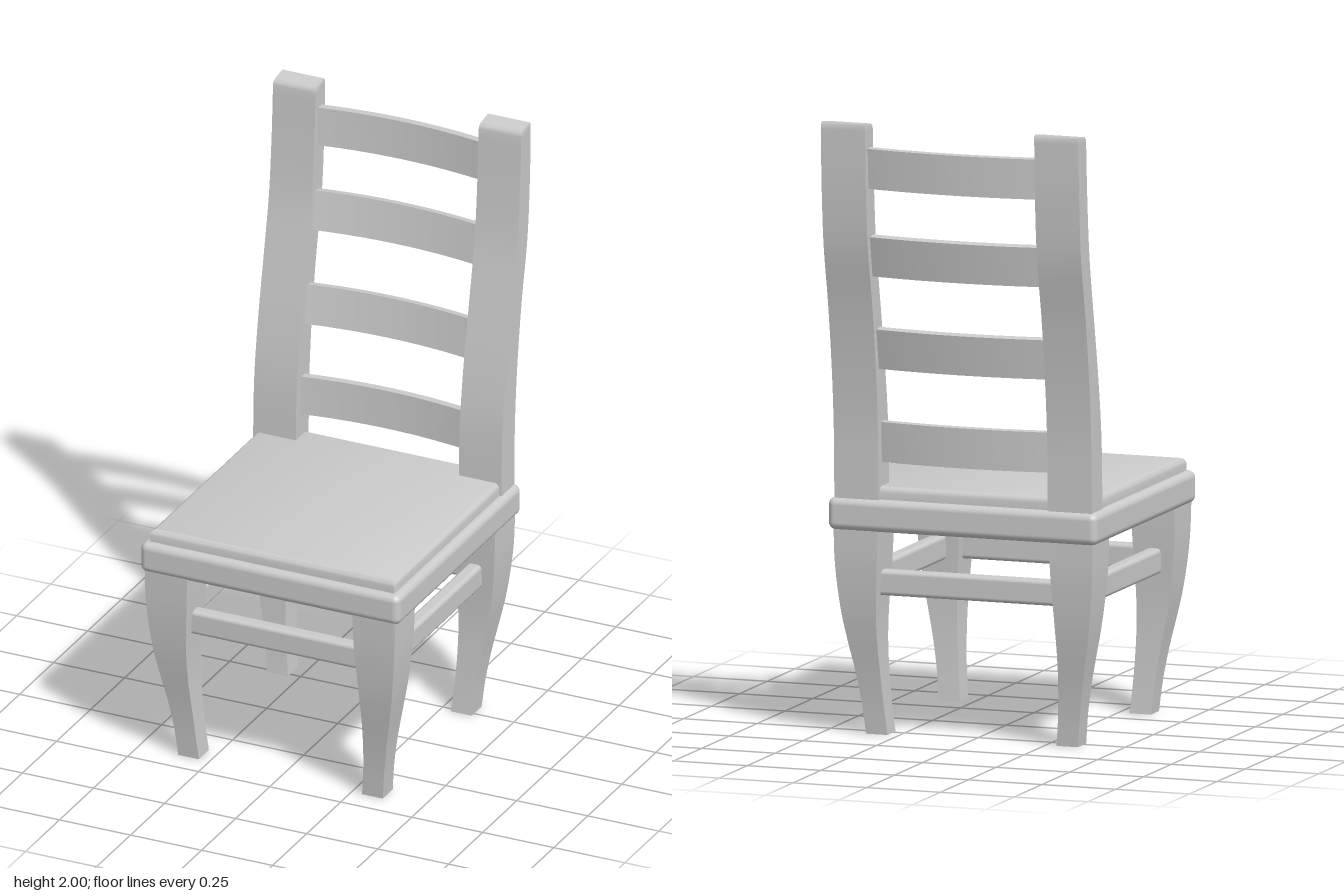
import * as THREE from 'three';
import { toCreasedNormals } from 'three/addons/utils/BufferGeometryUtils.js';
import { RoundedBoxGeometry } from 'three/addons/geometries/RoundedBoxGeometry.js';

const material = new THREE.MeshStandardMaterial({ color: 0xcccccc });

// Skin a list of four-cornered rings and close both ends.
function loft(rings) {
  const index = [];
  const last = (rings.length - 1) * 4;
  for (let i = 0; i < last; i += 4) {
    for (let k = 0; k < 4; k++) {
      const a = i + k, b = i + (k + 1) % 4;
      index.push(a, b, b + 4, a, b + 4, a + 4);
    }
  }
  index.push(0, 2, 1, 0, 3, 2, last, last + 1, last + 2, last, last + 2, last + 3);
  const geometry = new THREE.BufferGeometry();
  geometry.setAttribute('position', new THREE.Float32BufferAttribute(rings.flat(2), 3));
  geometry.setIndex(index);
  return toCreasedNormals(geometry, 0.6);
}

// Horizontal rectangle, counter-clockwise seen from above.
const rect = (x0, x1, z0, z1, y, yFront = y) =>
  [[x1, yFront, z1], [x1, y, z0], [x0, y, z0], [x0, yFront, z1]];

// Smooth curve through [a, y, b] rows.
const smooth = (rows, n) =>
  new THREE.CatmullRomCurve3(rows.map(r => new THREE.Vector3(...r))).getPoints(n);

export function createModel() {
  const chair = new THREE.Group();
  chair.name = 'chair';
  const add = (name, geometry, x = 0, y = 0, z = 0) => {
    const mesh = new THREE.Mesh(geometry, material);
    mesh.name = name;
    mesh.position.set(x, y, z);
    chair.add(mesh);
  };

  // Seat slab and the thin pad on top
  add('seat', new RoundedBoxGeometry(0.914, 0.104, 0.909, 4, 0.024), 0, 0.718, 0.053);
  const pad = [[0, 0.76], [0, 0.792], [0.002, 0.8], [0.007, 0.807], [0.015, 0.811]];
  add('seatPad', loft(pad.map(([d, y]) => rect(-0.43 + d, 0.43 - d, -0.375 + d, 0.482 - d, y))));

  // Curved legs: inset of the outer face, height, inset of the inner face
  const legCurve = smooth([
    [0.08, 0, 0.153], [0.07, 0.1, 0.144], [0.055, 0.2, 0.138], [0.036, 0.3, 0.135],
    [0.019, 0.4, 0.137], [0.004, 0.55, 0.145], [0, 0.68, 0.15],
  ], 24);
  for (const [side, sx] of [['Left', 1], ['Right', -1]]) {
    for (const [end, outerZ] of [['front', 0.5], ['back', -0.386]]) {
      const sz = Math.sign(outerZ);
      const rings = legCurve.map(p => {
        const xs = [sx * (0.44 - p.x), sx * (0.44 - p.z)];
        const zs = [outerZ - sz * p.x, outerZ - sz * p.z];
        return rect(Math.min(...xs), Math.max(...xs), Math.min(...zs), Math.max(...zs), p.y);
      });
      add(end + side + 'Leg', loft(rings));
    }
    add('side' + side + 'Stretcher', new RoundedBoxGeometry(0.05, 0.082, 0.66, 3, 0.014), sx * 0.365, 0.494, 0.057);
  }
  add('frontStretcher', new RoundedBoxGeometry(0.65, 0.082, 0.05, 3, 0.014), 0, 0.494, 0.425);
  add('backStretcher', new RoundedBoxGeometry(0.65, 0.082, 0.05, 3, 0.014), 0, 0.494, -0.311);

  // Swept back posts: front z, height, back z
  const postCurve = smooth([
    [-0.29, 0.76, -0.385], [-0.299, 1, -0.391], [-0.328, 1.2, -0.41], [-0.368, 1.4, -0.441],
    [-0.407, 1.6, -0.482], [-0.427, 1.8, -0.5], [-0.437, 1.975, -0.506],
  ], 32);
  for (const [name, x] of [['leftBackPost', 0.362], ['rightBackPost', -0.362]]) {
    const rings = postCurve.map(p => rect(x - 0.075, x + 0.075, p.z, p.x, p.y));
    rings.push(rect(x - 0.075, x + 0.075, -0.506, -0.439, 1.994, 1.984));
    rings.push(rect(x - 0.073, x + 0.073, -0.502, -0.447, 2, 1.992));
    add(name, loft(rings));
  }

  // Centre line of the posts at a given height
  const postZ = y => {
    const i = Math.max(1, postCurve.findIndex(p => p.y >= y));
    const a = postCurve[i - 1], b = postCurve[i];
    return THREE.MathUtils.lerp(a.x + a.z, b.x + b.z, (y - a.y) / (b.y - a.y)) / 2;
  };

  // Bowed back slats, leaning with the posts
  [0.953, 1.259, 1.566, 1.852].forEach((y, n) => {
    const low = postZ(y - 0.065), high = postZ(y + 0.065);
    const skew = (low - high) / 0.13 * 0.014;
    const rings = [];
    for (let i = 0; i <= 16; i++) {
      const x = -0.31 + 0.62 * i / 16;
      const bow = -0.025 * (1 - (x / 0.287) ** 2);
      rings.push([
        [x, y - 0.065 - skew, low + bow - 0.014], [x, y + 0.065 - skew, high + bow - 0.014],
        [x, y + 0.065 + skew, high + bow + 0.014], [x, y - 0.065 + skew, low + bow + 0.014],
      ]);
    }
    add('backSlat' + (n + 1), loft(rings));
  });

  return chair;
}
